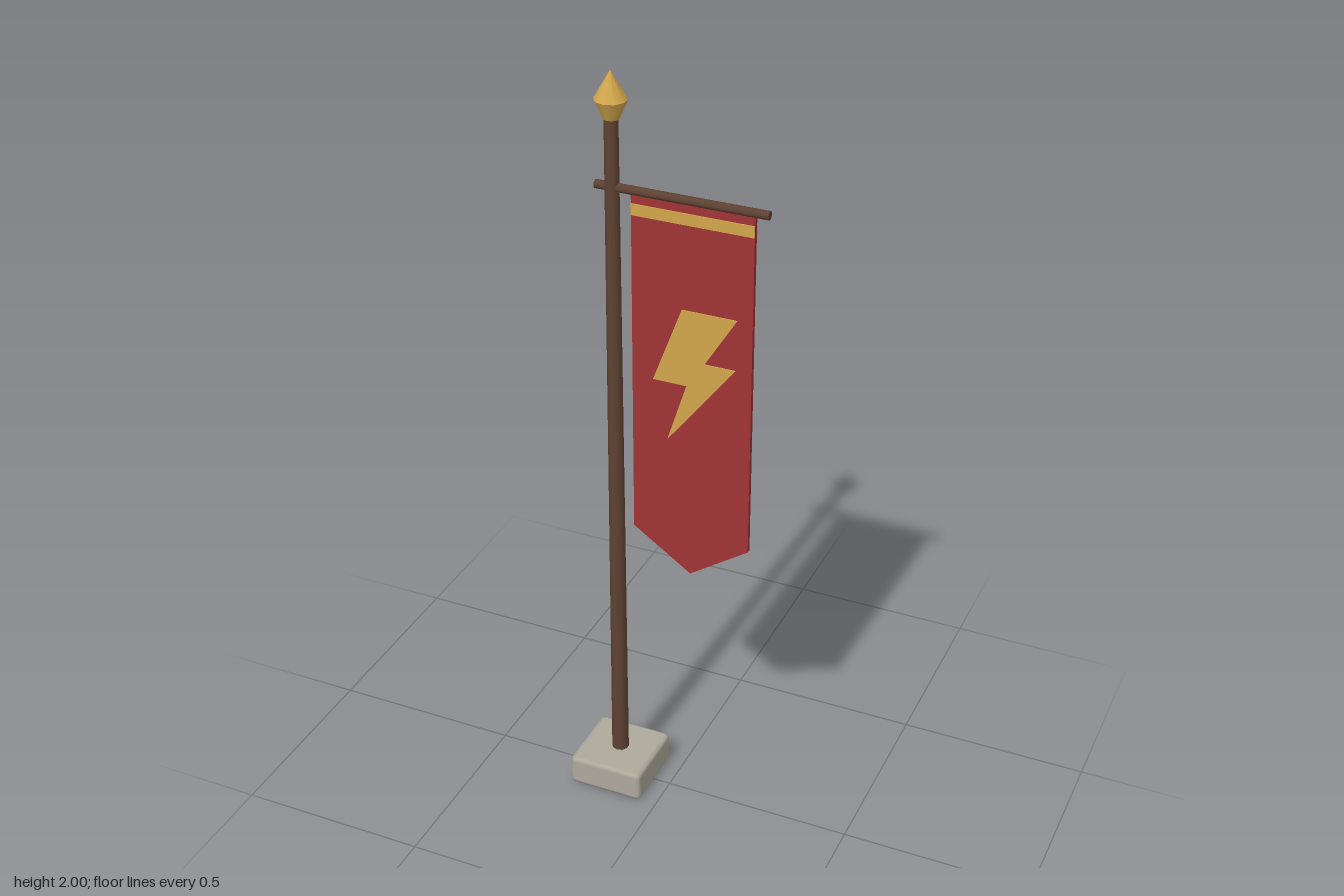
import * as THREE from 'three';
import { RoundedBoxGeometry } from 'three/addons/geometries/RoundedBoxGeometry.js';

const POLE_X = -0.145;
const CLOTH = { left: -0.095, right: 0.212, top: 1.715, side: 0.81, tip: 0.705, depth: 0.012 };

function material(name, color) {
  const m = new THREE.MeshStandardMaterial({ color });
  m.name = name;
  return m;
}

// Flat outline extruded to a plate centred on z
function plate(points, depth, z = 0) {
  const shape = new THREE.Shape(points.map(([x, y]) => new THREE.Vector2(x, y)));
  return new THREE.ExtrudeGeometry(shape, { depth, bevelEnabled: false }).translate(0, 0, z - depth / 2);
}

export function createModel() {
  const group = new THREE.Group();
  group.name = 'bannerOnPole';

  const stone = material('stone', 0xaea99c);
  const wood = material('wood', 0x5e4232);
  const red = material('redCloth', 0xa03336);
  const gold = material('gold', 0xd2a64c);

  const add = (name, geometry, mat, x = 0, y = 0, z = 0) => {
    const mesh = new THREE.Mesh(geometry, mat);
    mesh.name = name;
    mesh.position.set(x, y, z);
    group.add(mesh);
    return mesh;
  };

  // Stone foot with softened edges
  add('base', new RoundedBoxGeometry(0.204, 0.085, 0.204, 1, 0.013), stone, POLE_X, 0.0425);

  // Tapered pole
  add('pole', new THREE.CylinderGeometry(0.017, 0.0225, 1.83, 10), wood, POLE_X, 0.975);

  // Spear-shaped finial: flared collar below, point above
  add('finialCollar', new THREE.CylinderGeometry(0.04, 0.02, 0.046, 10), gold, POLE_X, 1.908);
  add('finialPoint', new THREE.ConeGeometry(0.04, 0.069, 10), gold, POLE_X, 1.9655);

  // Crossbar
  const bar = add('crossbar', new THREE.CylinderGeometry(0.0113, 0.0113, 0.432, 8), wood, 0.029, 1.718);
  bar.rotation.z = Math.PI / 2;

  // Hanging cloth with pointed hem
  const { left, right, top, side, tip, depth } = CLOTH;
  const middle = (left + right) / 2;
  add('cloth', plate([[left, top], [left, side], [middle, tip], [right, side], [right, top]], depth), red);

  // Gold band on both faces
  for (const [name, s] of [['frontBand', 1], ['backBand', -1]]) {
    add(name, new THREE.BoxGeometry(right - left, 0.029, 0.003), gold, middle, 1.674, s * (depth / 2 + 0.001));
  }

  // Zigzag bolt on the front face
  const bolt = [
    [0.034, 1.442], [-0.04, 1.242], [0.047, 1.242], [-0.003, 1.083],
    [0.172, 1.31], [0.093, 1.31], [0.174, 1.442],
  ];
  add('bolt', plate(bolt, 0.004, depth / 2 + 0.001), gold);

  return group;
}
